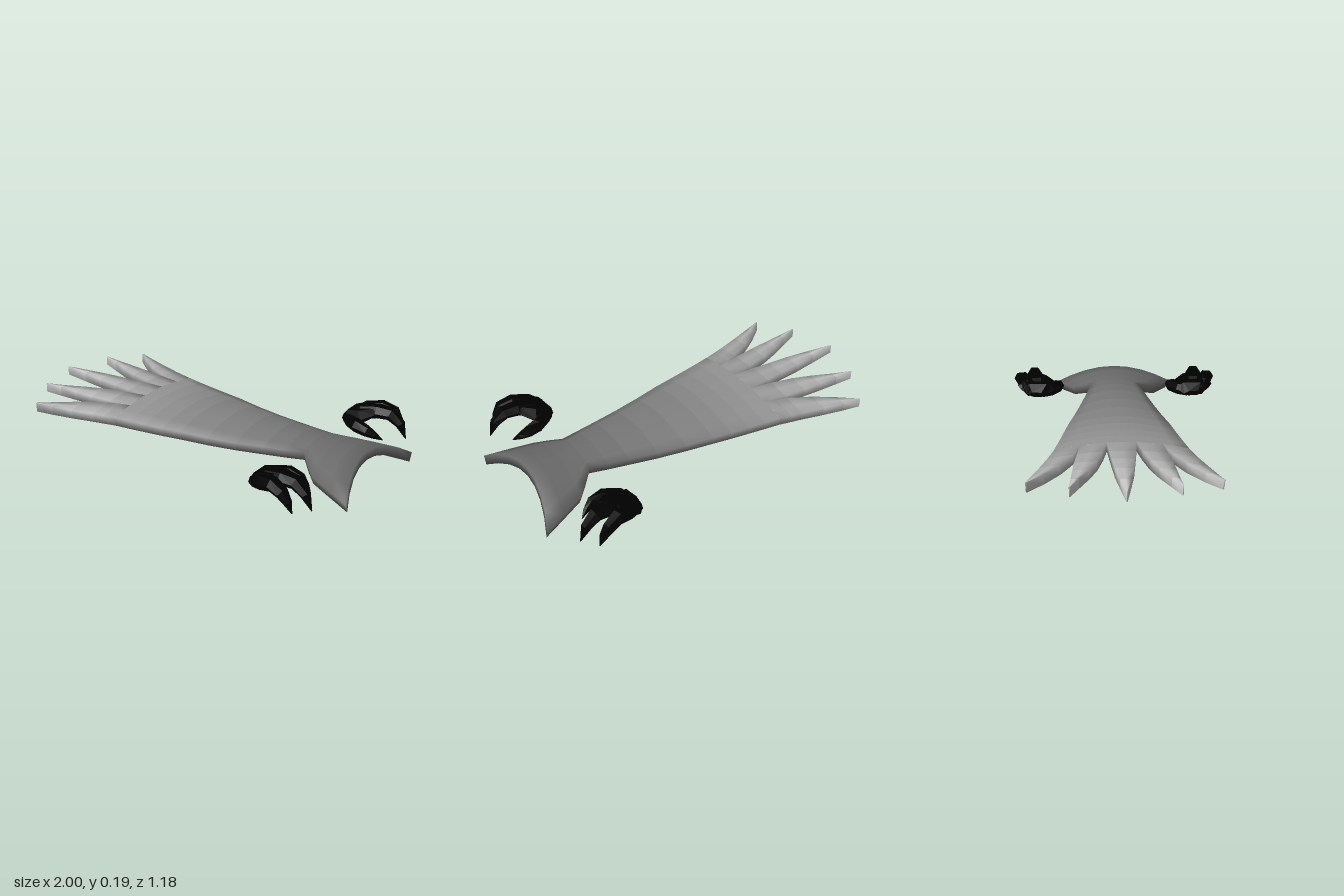
import * as THREE from 'three';

// Skin a series of closed rings (even point count), with optional end caps.
// Each row of faces is a geometry group, the caps joining the first and last.
function loft(rings, capStart = true, capEnd = true) {
  const K = rings[0].length, rows = rings.length - 1, index = [];
  const geo = new THREE.BufferGeometry();
  const cap = (o, flip) => {
    for (let j = 0; j < K / 2 - 1; j++) {
      const a = o + j, b = a + 1, c = o + K - 2 - j, d = c + 1;
      if (flip) index.push(a, c, b, a, d, c);
      else index.push(a, b, c, a, c, d);
    }
  };
  for (let i = 0; i < rows; i++) {
    const start = index.length;
    if (i === 0 && capStart) cap(0, false);
    for (let j = 0; j < K; j++) {
      const a = i * K + j, c = i * K + (j + 1) % K;
      index.push(a, a + K, c, a + K, c + K, c);
    }
    if (i === rows - 1 && capEnd) cap(rows * K, true);
    geo.addGroup(start, index.length - start, i);
  }
  geo.setAttribute('position', new THREE.Float32BufferAttribute(
    rings.flat().flatMap((p) => [p.x, p.y, p.z]), 3));
  geo.setIndex(index);
  geo.computeVertexNormals();
  return geo;
}

// Value at x in a list of [x, value] pairs.
function sample(table, x) {
  for (let i = 1; i < table.length; i++) {
    const [x0, k0] = table[i - 1], [x1, k1] = table[i];
    if (x <= x1) return THREE.MathUtils.lerp(k0, k1, (x - x0) / (x1 - x0));
  }
  return table[table.length - 1][1];
}

// Along x: how strongly the tail arches across its width, and its grey level (0-255).
const ARCH = [[-1, 0], [-0.82, 0.12], [-0.38, 0.35], [0, 0.62], [0.3, 1.1], [0.65, 1.55], [0.8, 1.2], [1, 1.02]];
const SHADE = [[-1, 200], [-0.8, 188], [-0.55, 166], [-0.35, 148], [0, 132], [0.4, 118], [0.7, 106], [1, 100]];

// Ring over the arched top surface and back along the parallel underside.
const THICKNESS = 0.049;
function tailRing(columns, pointAt) {
  const top = [], under = [];
  for (let j = 0; j <= columns; j++) {
    const [x, z] = pointAt(1 - j / columns);
    const k = sample(ARCH, x);
    const p = new THREE.Vector3(x, 0.164 - k * z * z, z);
    const n = new THREE.Vector3(0, 1, 1.2 * k * z).normalize();
    top.push(p);
    under.unshift(p.clone().addScaledVector(n, -THICKNESS));
  }
  return [...top, ...under];
}

// One grey per row, fading from the dark flared end to the pale tips.
function tailShades(rows) {
  return rows.slice(1).map(([x], i) => {
    const g = Math.round(sample(SHADE, (x + rows[i][0]) / 2));
    return new THREE.MeshStandardMaterial({ color: (g << 16) | (g << 8) | g });
  });
}

// Tail body and flared end: [x at centre, x at edge, half width]
const BODY = [
  [-0.38, -0.38, 0.335], [-0.29, -0.29, 0.319], [-0.2, -0.2, 0.303], [-0.1, -0.1, 0.286],
  [0, 0, 0.268], [0.15, 0.15, 0.238], [0.3, 0.3, 0.208], [0.45, 0.45, 0.177],
  [0.56, 0.56, 0.155], [0.65, 0.65, 0.135], [0.7, 0.705, 0.195], [0.75, 0.765, 0.25],
  [0.84, 0.885, 0.298], [0.92, 1, 0.342],
];

// Feathers from tip to root: [x, low z, high z]
const FEATHERS = {
  centreFeather: [[-1, -0.002, 0.002], [-0.85, -0.026, 0.026], [-0.72, -0.045, 0.045],
    [-0.6, -0.056, 0.056], [-0.5, -0.065, 0.065], [-0.38, -0.075, 0.075]],
  innerFeather: [[-0.93, 0.253, 0.257], [-0.83, 0.212, 0.25], [-0.72, 0.163, 0.243],
    [-0.62, 0.126, 0.235], [-0.5, 0.097, 0.22], [-0.38, 0.075, 0.205]],
  outerFeather: [[-0.82, 0.45, 0.457], [-0.73, 0.376, 0.432], [-0.62, 0.3, 0.4],
    [-0.5, 0.24, 0.365], [-0.44, 0.22, 0.35], [-0.38, 0.205, 0.335]],
};

// Claw parts: [x, y, z, half width, half height]
const CLAW = {
  palm: [[0.572, 0.1, 0.45, 0.055, 0.018], [0.61, 0.122, 0.445, 0.1, 0.038],
    [0.66, 0.137, 0.45, 0.115, 0.035], [0.72, 0.162, 0.475, 0.08, 0.022]],
  outerTalon: [[0.59, 0.11, 0.485, 0.03, 0.025], [0.65, 0.137, 0.515, 0.04, 0.035],
    [0.73, 0.155, 0.538, 0.042, 0.032], [0.79, 0.135, 0.556, 0.034, 0.028],
    [0.82, 0.095, 0.556, 0.021, 0.018], [0.84, 0.043, 0.55, 0.002, 0.002]],
  middleTalon: [[0.59, 0.11, 0.45, 0.04, 0.025], [0.66, 0.145, 0.455, 0.05, 0.035],
    [0.74, 0.162, 0.465, 0.05, 0.032], [0.81, 0.16, 0.47, 0.04, 0.03],
    [0.865, 0.115, 0.475, 0.028, 0.022], [0.9, 0.042, 0.475, 0.002, 0.002]],
  innerTalon: [[0.59, 0.105, 0.425, 0.03, 0.022], [0.62, 0.115, 0.375, 0.034, 0.032],
    [0.69, 0.115, 0.33, 0.035, 0.032], [0.75, 0.1, 0.326, 0.028, 0.026],
    [0.79, 0.08, 0.34, 0.016, 0.016], [0.825, 0.058, 0.36, 0.002, 0.002]],
};

// Six-sided limb following its stations; side is +1 or -1 in z.
function limb(stations, side) {
  const centres = stations.map(([x, y, z]) => new THREE.Vector3(x, y, z * side));
  const up = new THREE.Vector3(0, 1, 0);
  const rings = stations.map(([, , , w, h], i) => {
    const t = centres[Math.min(i + 1, centres.length - 1)].clone()
      .sub(centres[Math.max(i - 1, 0)]).normalize();
    const s = t.clone().cross(up).normalize();
    const u = s.clone().cross(t);
    return Array.from({ length: 6 }, (_, j) => {
      const a = (j / 6) * Math.PI * 2;
      return centres[i].clone().addScaledVector(s, w * Math.cos(a)).addScaledVector(u, h * 1.15 * Math.sin(a));
    });
  });
  const geo = loft(rings);
  geo.clearGroups();
  return geo;
}

export function createModel() {
  const model = new THREE.Group();
  const black = new THREE.MeshStandardMaterial({ color: 0x000000, flatShading: true });
  const add = (parent, name, geo, mat) => {
    const mesh = new THREE.Mesh(geo, mat);
    mesh.name = name;
    parent.add(mesh);
  };

  // Tail body with flared, bowed end
  const tail = new THREE.Group();
  tail.name = 'tail';
  model.add(tail);
  const bodyRings = BODY.map(([xc, xe, w]) => tailRing(8, (t) => {
    const v = 2 * t - 1;
    return [xc + (xe - xc) * v * v, v * w];
  }));
  add(tail, 'tailBody', loft(bodyRings, false, true), tailShades(BODY));

  // Five pointed feathers
  for (const [name, rows] of Object.entries(FEATHERS)) {
    const shades = tailShades(rows);
    for (const side of name === 'centreFeather' ? [1] : [1, -1]) {
      const rings = rows.map(([x, lo, hi]) => tailRing(2, (t) =>
        [x, side > 0 ? lo + (hi - lo) * t : -hi + (hi - lo) * t]));
      add(tail, name, loft(rings, true, false), shades);
    }
  }

  // Mirrored pair of claws
  for (const side of [1, -1]) {
    const claw = new THREE.Group();
    claw.name = side > 0 ? 'frontClaw' : 'backClaw';
    for (const [name, stations] of Object.entries(CLAW)) add(claw, name, limb(stations, side), black);
    model.add(claw);
  }
  return model;
}
